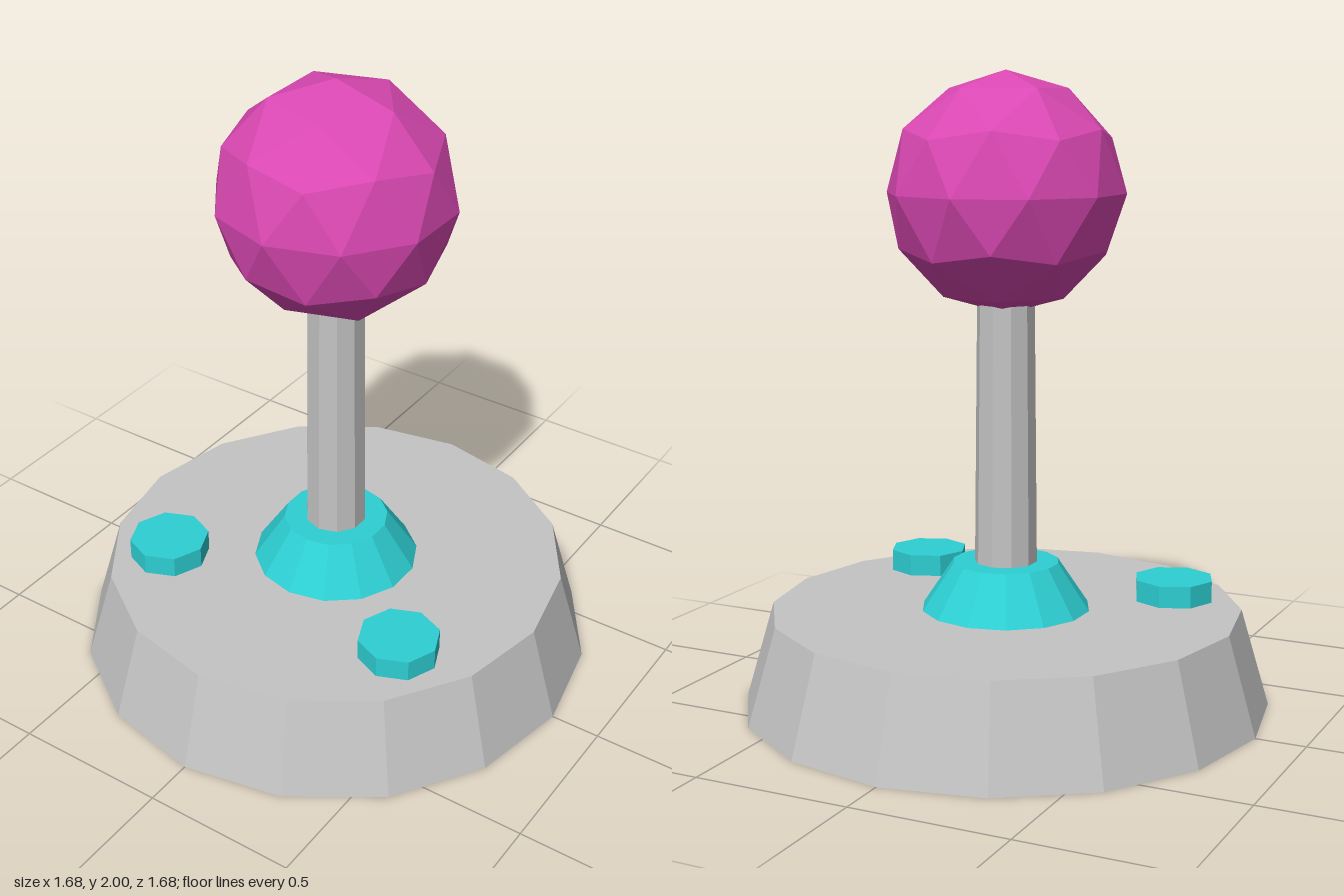
import * as THREE from 'three';

const flat = (name, color) => {
  const m = new THREE.MeshStandardMaterial({ color, flatShading: true });
  m.name = name;
  return m;
};

export function createModel() {
  const grey = flat('light grey', 0xc4c4c4);
  const teal = flat('teal', 0x2dcfd3);
  const pink = flat('magenta', 0xda48b3);
  const group = new THREE.Group();
  group.name = 'joystick';

  const add = (name, geometry, material, x, y, z) => {
    const mesh = new THREE.Mesh(geometry, material);
    mesh.name = name;
    mesh.position.set(x, y, z);
    group.add(mesh);
  };

  // Upright faceted drum between two heights
  const drum = (name, rTop, rBottom, y0, y1, sides, material, x = 0, z = 0) =>
    add(name, new THREE.CylinderGeometry(rTop, rBottom, y1 - y0, sides), material, x, (y0 + y1) / 2, z);

  drum('base', 0.75, 0.84, 0, 0.31, 16, grey);
  drum('collar', 0.17, 0.27, 0.31, 0.46, 14, teal);
  drum('stick', 0.09, 0.1, 0.4, 1.36, 10, grey);

  // Pair of octagonal buttons
  for (const side of [1, -1]) {
    drum(side > 0 ? 'leftButton' : 'rightButton', 0.13, 0.13, 0.31, 0.38, 8, teal, side * 0.45, 0.32);
  }

  // Ball turned so that one icosahedron corner points straight up
  const ball = new THREE.IcosahedronGeometry(0.374, 1);
  ball.rotateX(-Math.atan((1 + Math.sqrt(5)) / 2));
  ball.rotateY(Math.PI / 2);
  add('ballKnob', ball, pink, 0, 1.626, 0);

  return group;
}
